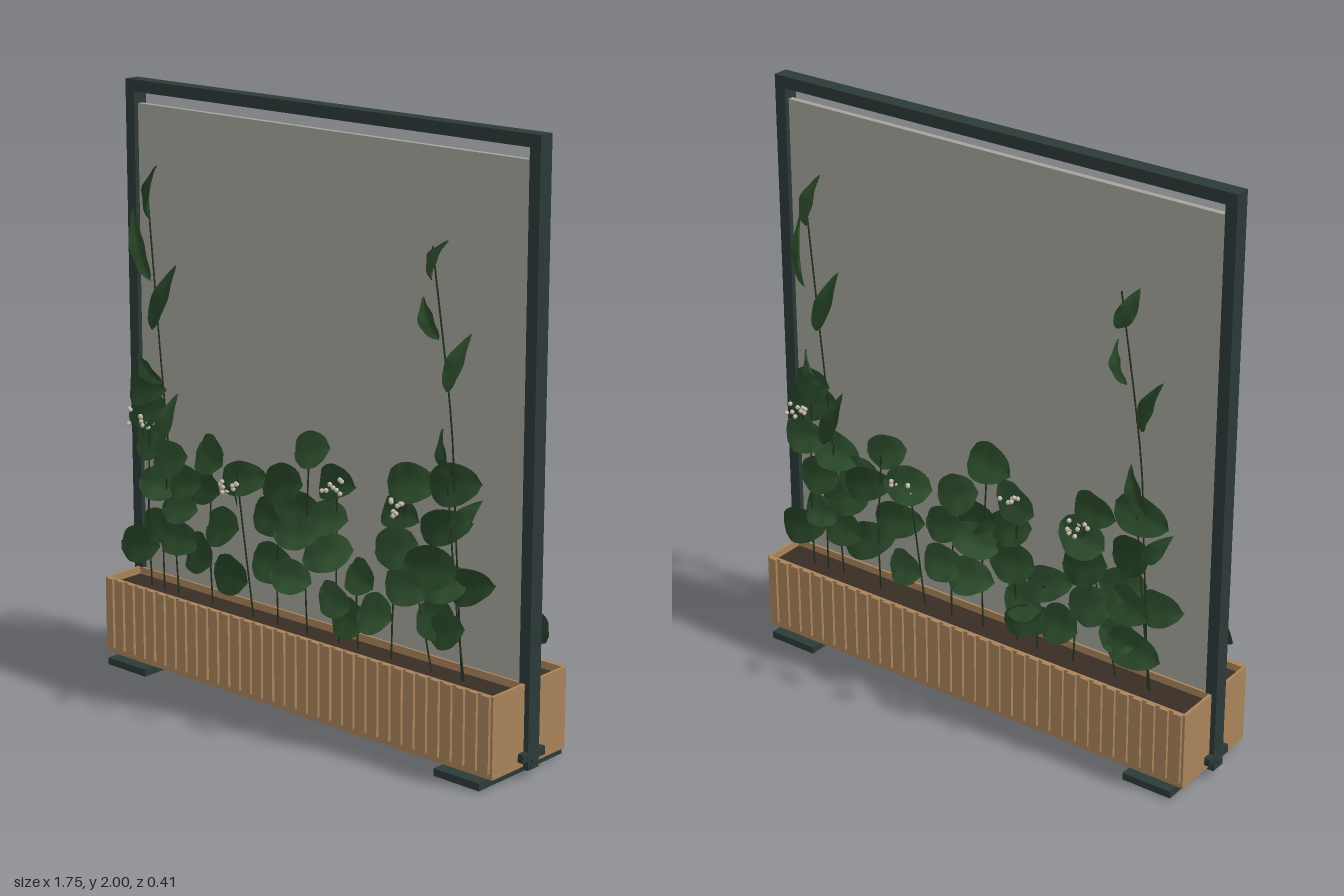
import * as THREE from 'three';

const mat = (color, side = THREE.FrontSide) => new THREE.MeshStandardMaterial({ color, side });
const metal = mat(0x2b3a38), wood = mat(0xa9835a), soilMat = mat(0x382d24), glass = mat(0xa4a49b);
const stemMat = mat(0x26331f), flowerMat = mat(0xc9bfb4);
const greens = [0x2a4a29, 0x305230, 0x264326].map(c => mat(c, THREE.DoubleSide));

let seed = 7;
const rnd = (a = 0, b = 1) => {
  seed = (seed * 16807) % 2147483647;
  return a + (b - a) * seed / 2147483647;
};

// Box given by its extents along each axis
function box(name, m, x0, x1, y0, y1, z0, z1) {
  const mesh = new THREE.Mesh(new THREE.BoxGeometry(x1 - x0, y1 - y0, z1 - z0), m);
  mesh.position.set((x0 + x1) / 2, (y0 + y1) / 2, (z0 + z1) / 2);
  mesh.name = name;
  return mesh;
}

// Unit leaf along +x, centred: a plane narrowed to an outline, creased and drooped
function leafGeometry(blunt, fold, droop) {
  const g = new THREE.PlaneGeometry(1, 1, 12, 6);
  const p = g.attributes.position;
  for (let i = 0; i < p.count; i++) {
    const t = p.getX(i) + 0.5, v = p.getY(i) * 2;
    const half = 0.5 * Math.pow(Math.sin(Math.PI * Math.pow(t, 0.85)), blunt);
    const z = -fold * Math.abs(v) * half * 2 - droop * (t - 0.4) ** 2 + 0.03 * Math.sin(t * 14) * v;
    p.setXYZ(i, t - 0.5, v * half, z);
  }
  g.computeVertexNormals();
  return g;
}
const broadLeaf = leafGeometry(0.55, -0.12, 0.45);
const slimLeaf = leafGeometry(0.9, -0.15, 0.4);

function leaf(name, geo, x, y, z, length, width, angle, lean, turn) {
  const mesh = new THREE.Mesh(geo, greens[Math.floor(rnd(0, 2.99))]);
  mesh.scale.set(length, width, 0.12);
  mesh.rotation.set(lean, turn, angle, 'YXZ');
  mesh.position.set(x, y, z);
  mesh.name = name;
  return mesh;
}

function stem(points, radius = 0.003) {
  const curve = new THREE.CatmullRomCurve3(points.map(p => new THREE.Vector3(...p)));
  const mesh = new THREE.Mesh(new THREE.TubeGeometry(curve, 14, radius, 5), stemMat);
  mesh.name = 'stem';
  return mesh;
}

// Centres of the broad leaves, x and y
const broadSpots = [
  [-.67, 1.0], [-.69, .92], [-.70, .80], [-.58, .77], [-.65, .67], [-.50, .71], [-.66, .52], [-.55, .50],
  [-.74, .44], [-.55, .61], [-.38, .83], [-.44, .70], [-.33, .59], [-.26, .76], [-.46, .47], [-.29, .44],
  [-.12, .66], [-.13, .50], [-.06, .79], [.05, .92], [-.01, .71], [0, .64], [-.02, .49], [.12, .71],
  [.17, .84], [.14, .60], [.28, .56], [.17, .46], [.21, .40], [.34, .45], [.46, .89], [.42, .79],
  [.42, .68], [.46, .56], [.56, .65], [.63, .92], [.60, .78], [.60, .60], [.70, .61], [.56, .48], [.63, .46],
];
// Slim climbing leaves: x, y, length, angle
const slimSpots = [
  [-.63, 1.66, .2, 1.25], [-.68, 1.48, .24, 1.85], [-.58, 1.32, .24, 1.2], [-.65, 1.07, .14, 2.5], [-.57, .9, .22, 1.2],
  [.585, 1.61, .15, 1.1], [.56, 1.43, .14, 2.1], [.67, 1.31, .2, 1.2], [.63, 1.02, .16, 2.0], [.71, .84, .15, .9],
];
// Stems: foot x, top x, top y
const stems = [
  [-.72, -.67, .98], [-.66, -.58, .8], [-.43, -.38, .82], [-.24, -.27, .78], [-.13, -.06, .79], [0, .05, .9],
  [.14, .17, .84], [.22, .28, .56], [.36, .46, .86], [.53, .42, .8], [.66, .62, .92],
];

function plants() {
  const g = new THREE.Group();
  g.name = 'plants';
  for (const [a, b, top] of stems)
    g.add(stem([[a, .27, .085], [a + (b - a) * .3, .5, .11], [b, top, .13]]));
  for (const s of [-1, 1])
    g.add(stem([[s * .62 + .03, .27, .085], [s * .62 + .02, .8, .115], [s * .625, 1.1, .12], [s * .61 - .08, 1.64, .105]]));
  for (const [x, y] of broadSpots) {
    const side = rnd() < .5 ? 0 : Math.PI;
    g.add(leaf('broadLeaf', broadLeaf, x, y, rnd(.11, .155), rnd(.16, .2), rnd(.11, .14),
      side + rnd(-.35, .35), rnd(-.5, -.1), rnd(-.25, .25)));
  }
  for (const [x, y, length, angle] of slimSpots)
    g.add(leaf('slimLeaf', slimLeaf, x, y, .155, length, .06, angle, rnd(-.1, .1), rnd(-.5, .5)));
  // Small blossom clusters
  for (const [x, y] of [[-.7, .89], [-.27, .74], [.17, .83], [.43, .81]])
    for (let i = 0; i < 9; i++) {
      const bud = new THREE.Mesh(new THREE.SphereGeometry(.008, 8, 6), flowerMat);
      bud.position.set(x + rnd(-.045, .045), y + rnd(-.025, .035), rnd(.15, .175));
      bud.name = 'blossom';
      g.add(bud, stem([[x, y - .07, .13], [x, y - .03, .14], bud.position.toArray()], .0012));
    }
  return g;
}

// One trough with its slatted face and planting
function planter() {
  const g = new THREE.Group();
  g.name = 'planter';
  g.add(box('floor', wood, -.85, .85, .04, .055, .02, .18));
  g.add(box('outerWall', wood, -.85, .85, .04, .31, .17, .18));
  g.add(box('innerWall', wood, -.85, .85, .055, .31, .02, .028));
  for (const s of [-1, 1])
    g.add(box('endWall', wood, s * .845 - .005, s * .845 + .005, .04, .31, .02, .18));
  g.add(box('soil', soilMat, -.84, .84, .055, .285, .028, .17));
  const count = 34, pitch = 1.7 / count;
  for (let i = 0; i < count; i++) {
    const x = -.85 + (i + .5) * pitch;
    g.add(box('slat', wood, x - .016, x + .016, .06, .31, .18, .19));
  }
  g.add(plants());
  return g;
}

export function createModel() {
  const model = new THREE.Group();
  model.name = 'planterScreen';

  // Metal frame, clamps and feet
  for (const s of [-1, 1]) {
    const x = s * .848;
    model.add(box('post', metal, x - .02, x + .02, .03, 1.96, -.027, .027));
    model.add(box('clamp', metal, x - .022, x + .022, .062, .09, -.055, .055));
    const bolt = new THREE.Mesh(new THREE.CylinderGeometry(.012, .012, .05, 12), metal);
    bolt.rotation.z = Math.PI / 2;
    bolt.position.set(x, .06, 0);
    bolt.name = 'bolt';
    model.add(bolt);
    model.add(box('foot', metal, s * .73 - .09, s * .73 + .09, .005, .03, -.205, .205));
    model.add(box('footPad', metal, s * .73 - .08, s * .73 + .08, 0, .005, -.19, .19));
    model.add(box('footSpacer', metal, s * .73 - .06, s * .73 + .06, .03, .04, -.15, .15));
  }
  model.add(box('topBeam', metal, -.868, .868, 1.96, 2, -.027, .027));
  model.add(box('bottomRail', metal, -.83, .83, .045, .075, -.018, .018));

  // Screen panel
  model.add(box('panel', glass, -.828, .828, .075, 1.92, -.01, .01));

  // A planted trough on each side of the screen
  const front = planter();
  const back = planter();
  back.rotation.y = Math.PI;
  model.add(front, back);
  return model;
}
